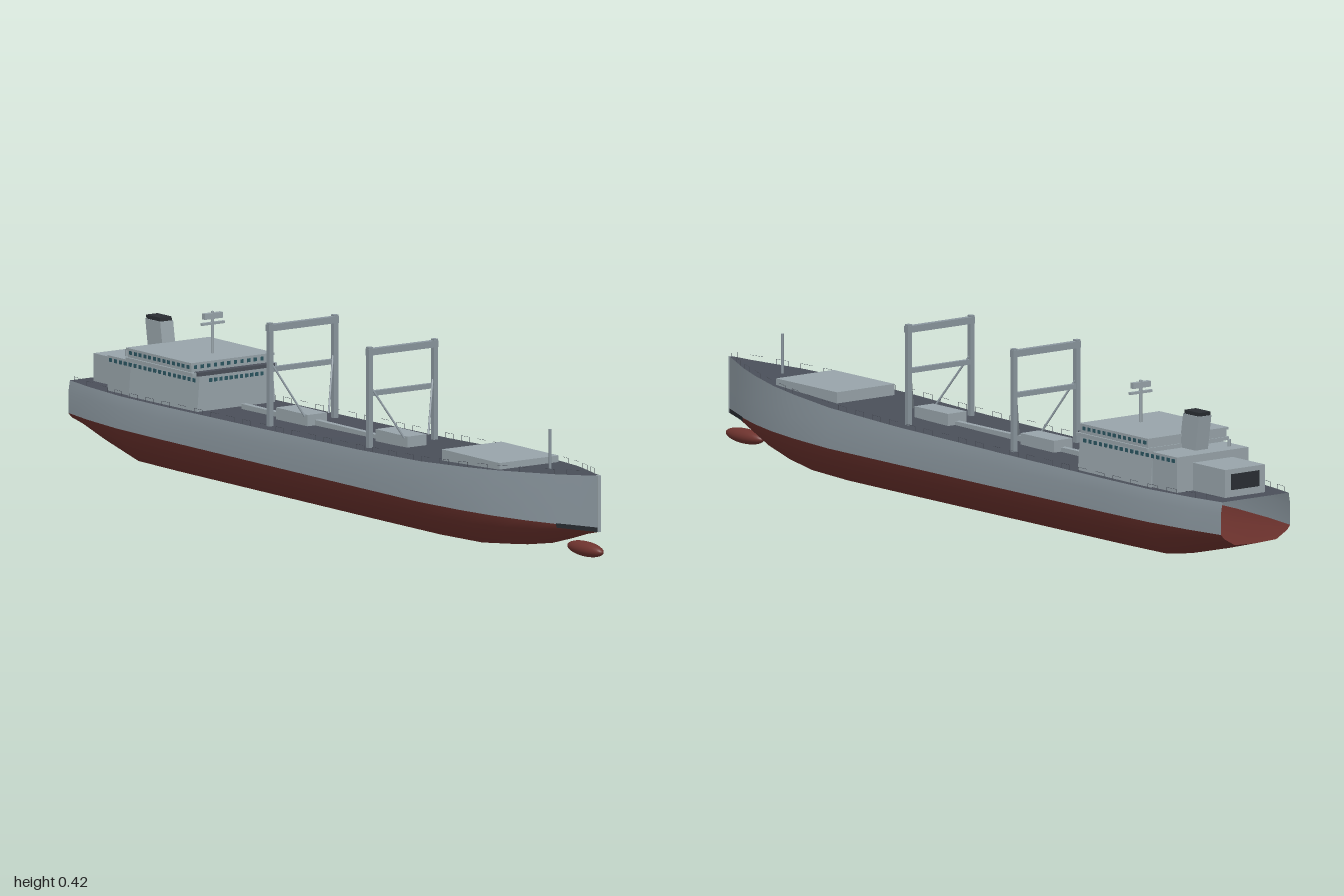
import * as THREE from 'three';
import { mergeGeometries } from 'three/addons/utils/BufferGeometryUtils.js';

const paint = (color) => new THREE.MeshStandardMaterial({ color, side: THREE.DoubleSide });
const WATER = 0.095;

// Hull stations: x, half beam, keel height, deck height, bilge fraction
const STATIONS = [
  [-1, 0.105, 0.063, 0.173, 0.6], [-0.9, 0.122, 0.037, 0.173, 0.57], [-0.76, 0.136, 0.004, 0.173, 0.55],
  [-0.6, 0.138, 0.003, 0.174, 0.55], [-0.2, 0.138, 0.003, 0.178, 0.55], [0.2, 0.138, 0.003, 0.184, 0.55],
  [0.45, 0.137, 0.003, 0.192, 0.54], [0.6, 0.121, 0.004, 0.199, 0.5], [0.7, 0.104, 0.015, 0.204, 0.47],
  [0.8, 0.077, 0.033, 0.21, 0.42], [0.88, 0.048, 0.056, 0.214, 0.36], [0.94, 0.022, 0.075, 0.218, 0.32],
  [0.985, 0.003, 0.086, 0.222, 0.3],
];

// Straight interpolation of a station value along the ship
function at(x, k) {
  let i = 0;
  while (i < STATIONS.length - 2 && x > STATIONS[i + 1][0]) i++;
  const [a, b] = [STATIONS[i], STATIONS[i + 1]];
  return THREE.MathUtils.lerp(a[k], b[k], (x - a[0]) / (b[0] - a[0]));
}

// Half sections as [z, y], from the keel up
const lowerHalf = ([, b, k, , f]) => [[0, k], [f * b, k + (WATER - k) * 0.08],
  [0.91 * b, k + (WATER - k) * 0.66], [b, WATER]];
const upperHalf = ([, b, , d]) => [[b, WATER], [b, 0.145], [0.955 * b, d]];
const mirrored = (pts) => pts.map(([z, y]) => [-z, y]).reverse();

// Skin over sections placed at each station
function loft(section, stations = STATIONS) {
  const pos = [], index = [];
  let n = 0;
  stations.forEach((s, i) => {
    const pts = section(s);
    n = pts.length;
    pts.forEach(([z, y]) => pos.push(s[0], y, z));
    if (i === 0) return;
    for (let j = 0; j < n - 1; j++) {
      const a = (i - 1) * n + j, b = i * n + j;
      index.push(a, b, b + 1, a, b + 1, a + 1);
    }
  });
  const g = new THREE.BufferGeometry();
  g.setAttribute('position', new THREE.Float32BufferAttribute(pos, 3));
  g.setIndex(index);
  g.computeVertexNormals();
  return g;
}

// Box given by its limits along x, y and z
function block(x0, x1, y0, y1, z0, z1) {
  return new THREE.BoxGeometry(x1 - x0, y1 - y0, z1 - z0)
    .translate((x0 + x1) / 2, (y0 + y1) / 2, (z0 + z1) / 2);
}

// Round bar between two points
function bar(a, b, r, sides = 8) {
  const p = new THREE.Vector3(...a), q = new THREE.Vector3(...b), d = q.clone().sub(p);
  const g = new THREE.CylinderGeometry(r, r, d.length(), sides);
  g.applyQuaternion(new THREE.Quaternion().setFromUnitVectors(new THREE.Vector3(0, 1, 0), d.normalize()));
  return g.translate(...p.add(q).multiplyScalar(0.5).toArray());
}

export function createModel() {
  const ship = new THREE.Group();
  ship.name = 'cargoShip';
  const grey = paint(0x8a969e), light = paint(0x98a4aa), red = paint(0x6e332e);
  const dark = paint(0x4a4f59), black = paint(0x2a2e33), glass = paint(0x2b5560);
  const add = (name, geometry, material) => {
    const mesh = new THREE.Mesh(Array.isArray(geometry) ? mergeGeometries(geometry) : geometry, material);
    mesh.name = name;
    ship.add(mesh);
    return mesh;
  };

  // Hull
  add('lowerHull', loft((s) => [...mirrored(lowerHalf(s)), ...lowerHalf(s).slice(1)]), red);
  add('leftHullSide', loft(upperHalf), grey);
  add('rightHullSide', loft((s) => mirrored(upperHalf(s))), grey);
  add('deck', loft(([, b, , d]) => [[0.955 * b, d], [-0.955 * b, d]]), dark);
  const half = [...lowerHalf(STATIONS[0]), ...upperHalf(STATIONS[0]).slice(1)];
  const outline = [...half, ...mirrored(half).slice(0, -1)].map(([z, y]) => new THREE.Vector2(z, y));
  add('transom', new THREE.ShapeGeometry(new THREE.Shape(outline)).rotateY(-Math.PI / 2), grey);
  add('stem', block(0.98, 0.988, 0.086, 0.222, -0.004, 0.004), light);
  add('bulbousBow', new THREE.SphereGeometry(1, 24, 16).scale(0.068, 0.018, 0.02).translate(0.932, 0.038, 0), red);
  for (const s of [1, -1]) {
    add('bowRecess', loft(([, b]) => {
      const p = [[b * 0.96 + 0.001, 0.086], [b + 0.001, 0.097]];
      return s > 0 ? p : mirrored(p);
    }, STATIONS.slice(-3)), black);
  }

  // Railings along both deck edges
  const rails = [], edge = (x, s, h) => [x, at(x, 3) + h, s * at(x, 1) * 0.945];
  for (const s of [1, -1]) {
    for (let i = 0; i <= 60; i++) {
      const x = -0.98 + i * 0.0325;
      rails.push(bar(edge(x, s, 0), edge(x, s, 0.012), 0.0005, 4));
      if (i % 2 === 0 && i < 60) rails.push(bar(edge(x, s, 0.012), edge(x + 0.0325, s, 0.012), 0.0004, 4));
    }
  }
  add('railings', rails, dark);

  // Deckhouse, with walls leaning in slightly
  const house = block(-0.745, -0.47, 0.17, 0.26, -0.107, 0.107);
  const p = house.attributes.position;
  for (let i = 0; i < p.count; i++) if (p.getY(i) < 0.2) p.setZ(i, p.getZ(i) * 1.07);
  house.computeVertexNormals();
  add('deckhouse', house, light);
  add('midHouse', block(-0.838, -0.745, 0.17, 0.258, -0.108, 0.108), light);
  add('aftHouse', block(-0.96, -0.838, 0.17, 0.24, -0.06, 0.06), light);
  add('aftDoor', block(-0.962, -0.958, 0.19, 0.228, -0.042, 0.042), black);
  add('wingDeck', block(-0.745, -0.476, 0.26, 0.268, -0.124, 0.124), light);
  add('bridgeWalkway', block(-0.486, -0.468, 0.26, 0.269, -0.112, 0.112), dark);
  add('bridge', block(-0.742, -0.487, 0.268, 0.285, -0.119, 0.119), light);
  add('bridgeRoof', block(-0.745, -0.484, 0.285, 0.291, -0.122, 0.122), light);

  // Window rows on front and sides
  const panes = [];
  const frontRow = (x, y, span, n) => {
    for (let i = 0; i < n; i++) {
      const z = -span + (2 * span * i) / (n - 1);
      panes.push(block(x - 0.002, x + 0.001, y - 0.0045, y + 0.0045, z - 0.0045, z + 0.0045));
    }
  };
  const sideRow = (x0, x1, y, z, n) => {
    for (let i = 0; i < n; i++) {
      const x = x0 + ((x1 - x0) * i) / (n - 1);
      for (const s of [1, -1]) {
        panes.push(block(x - 0.005, x + 0.005, y - 0.0045, y + 0.0045, s * z - 0.0015, s * z + 0.0015));
      }
    }
  };
  frontRow(-0.487, 0.28, 0.107, 12);
  frontRow(-0.47, 0.248, 0.075, 11);
  sideRow(-0.73, -0.5, 0.28, 0.119, 13);
  sideRow(-0.825, -0.49, 0.248, 0.1085, 18);
  add('windows', panes, glass);

  // Funnel raked aft
  const rake = new THREE.Matrix4().makeShear(0, 0, -0.16, 0, 0, 0);
  const funnel = (y0, y1, w) => block(-0.03 - w, 0.03 + w, y0, y1, -0.019 - w, 0.019 + w)
    .applyMatrix4(rake).translate(-0.766, 0.258, 0);
  add('funnel', funnel(0, 0.083, 0), light);
  add('funnelTop', funnel(0.083, 0.092, -0.002), black);
  add('aftVent', bar([-0.8, 0.255, 0.08], [-0.8, 0.275, 0.08], 0.004), light);

  // Radar mast
  add('radarMast', [
    bar([-0.565, 0.285, 0], [-0.565, 0.392, 0], 0.004),
    block(-0.569, -0.561, 0.36, 0.366, -0.033, 0.033),
    block(-0.571, -0.559, 0.374, 0.388, -0.026, 0.026),
  ], light);

  // Cargo gantries, each on a small hatch
  for (const x of [-0.205, 0.195]) {
    const d = at(x, 3), parts = [];
    for (const s of [1, -1]) {
      parts.push(block(x - 0.006, x + 0.006, d - 0.005, 0.426, s * 0.095 - 0.006, s * 0.095 + 0.006));
      parts.push(bar([x, 0.328, s * 0.09], [x + 0.058, d + 0.025, s * 0.035], 0.0025));
    }
    parts.push(block(x - 0.007, x + 0.007, 0.406, 0.422, -0.102, 0.102));
    parts.push(block(x - 0.005, x + 0.005, 0.308, 0.32, -0.095, 0.095));
    add('gantry', parts, grey);
    add('gantryHatch', block(x - 0.067, x + 0.06, d - 0.005, d + 0.028, -0.028, 0.028), light);
  }

  // Walkway, fore hatch and foremast
  add('deckWalkway', block(-0.44, -0.27, 0.17, 0.188, -0.007, 0.007), light);
  add('deckWalkway', block(-0.145, 0.13, 0.175, 0.192, -0.007, 0.007), light);
  add('foreHatch', block(0.475, 0.705, 0.188, 0.22, -0.087, 0.087), light);
  add('foremast', bar([0.79, 0.205, 0], [0.79, 0.305, 0], 0.0035), grey);
  return ship;
}
